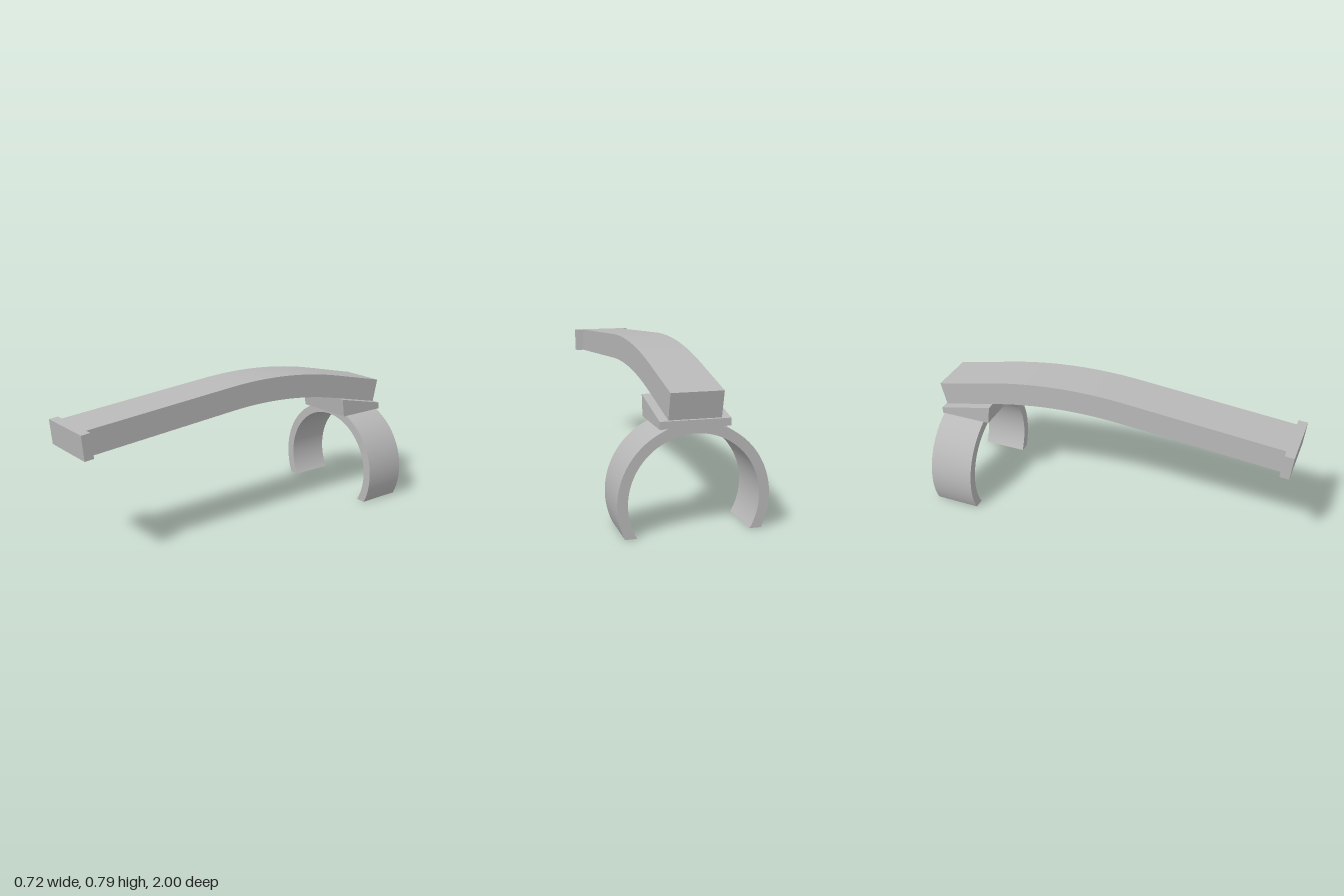
import * as THREE from 'three';
import { toCreasedNormals } from 'three/addons/utils/BufferGeometryUtils.js';

export function createModel() {
  const model = new THREE.Group();
  model.name = 'clipOnArm';
  const grey = new THREE.MeshStandardMaterial({ color: 0xb8b8b8 });
  grey.name = 'plain grey';

  function add(name, geometry) {
    const mesh = new THREE.Mesh(toCreasedNormals(geometry, 0.5), grey);
    mesh.name = name;
    model.add(mesh);
    return mesh;
  }

  function extrude(shape, depth) {
    return new THREE.ExtrudeGeometry(shape, { depth, bevelEnabled: false, curveSegments: 64 });
  }

  // Side profile given as (z, y), extruded across x and centred
  function sideProfile(points, width) {
    const shape = new THREE.Shape(points.map(([z, y]) => new THREE.Vector2(z, y)));
    return extrude(shape, width).translate(0, 0, -width / 2).rotateY(-Math.PI / 2);
  }

  // Arm centre line: a shallow arc with a straight tangent run at each end
  const thickness = 0.131, radius = 2.5, arcZ = -0.12, arcY = 0.795 - radius;
  const frontAngle = 0.087, backAngle = -0.22;
  function armPoint(angle, run, depth) {
    const r = radius - depth;
    return [
      arcZ + r * Math.sin(angle) + run * Math.cos(angle),
      arcY + r * Math.cos(angle) - run * Math.sin(angle),
    ];
  }
  const frontRun = 0.906, backRun = -0.343, flangeThickness = 0.05;

  // Curved arm
  const stations = [[frontAngle, frontRun - flangeThickness]];
  for (let i = 0; i <= 24; i++) {
    stations.push([THREE.MathUtils.lerp(frontAngle, backAngle, i / 24), 0]);
  }
  stations.push([backAngle, backRun]);
  const top = stations.map(([a, s]) => armPoint(a, s, 0));
  const bottom = stations.map(([a, s]) => armPoint(a, s, thickness)).reverse();
  add('arm', sideProfile([...top, ...bottom], 0.25));

  // Wider flange at the front tip
  add('endFlange', sideProfile([
    armPoint(frontAngle, frontRun, 0),
    armPoint(frontAngle, frontRun - flangeThickness, 0),
    armPoint(frontAngle, frontRun - flangeThickness, thickness),
    armPoint(frontAngle, frontRun, thickness),
  ], 0.334));

  // Wedge seating the arm on the clip
  add('wedge', sideProfile([
    [-0.677, 0.597], [-0.98, 0.53], [-0.98, 0.494], [-0.692, 0.494],
  ], 0.334));

  // Open ring clip, cut flat at the base
  const centreY = 0.157, outer = 0.36, inner = 0.311;
  const outerCut = Math.asin(centreY / outer), innerCut = Math.asin(centreY / inner);
  const ring = new THREE.Shape();
  ring.absarc(0, centreY, outer, -outerCut, Math.PI + outerCut, false);
  ring.absarc(0, centreY, inner, Math.PI + innerCut, -innerCut, true);
  ring.closePath();
  add('ringClip', extrude(ring, 0.25)).position.z = -0.98;

  return model;
}
